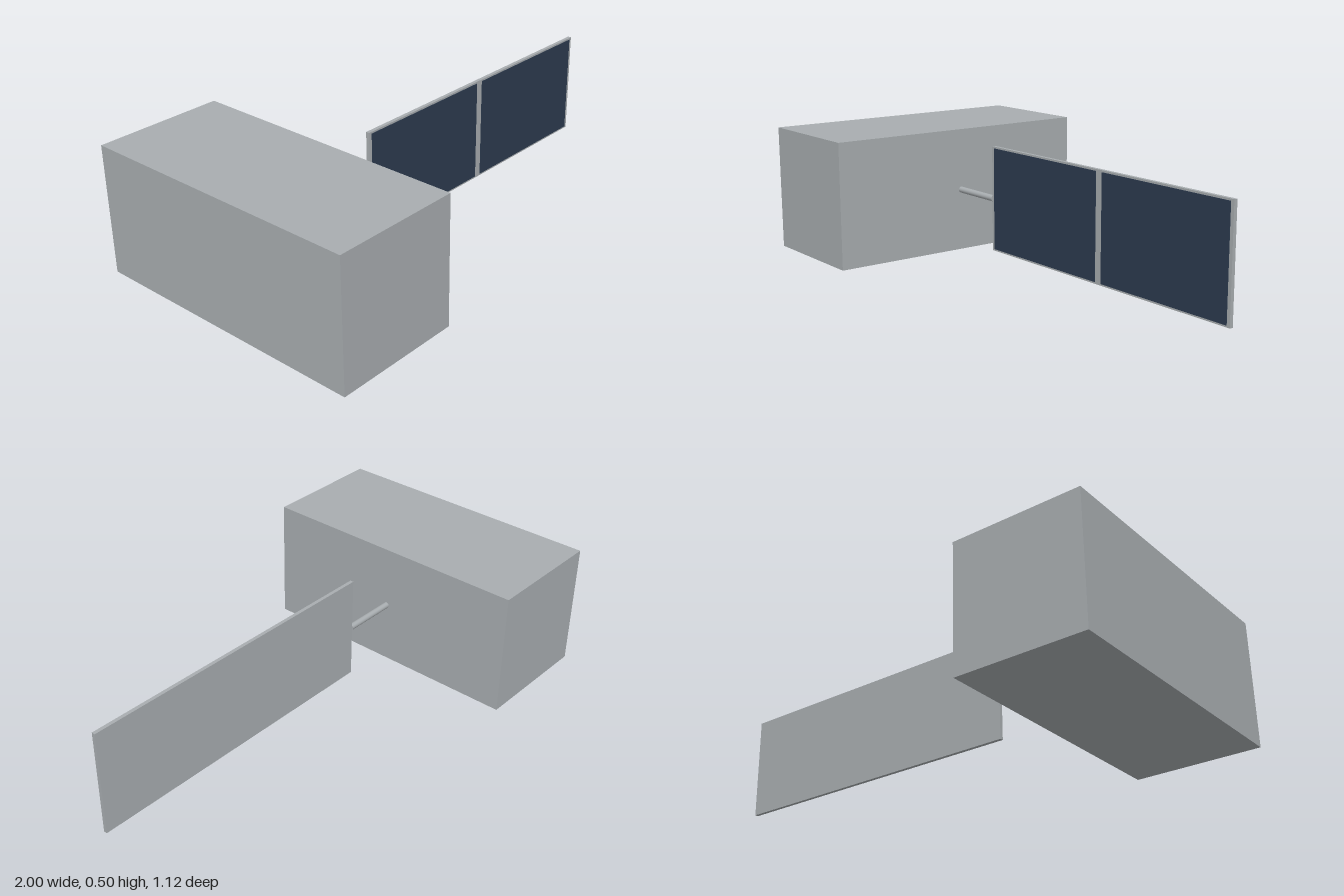
import * as THREE from 'three';

export function createModel() {
  const model = new THREE.Group();
  const hullGrey = new THREE.MeshStandardMaterial({ color: 0xa8adb0 });
  hullGrey.name = 'hullGrey';
  const cellBlue = new THREE.MeshStandardMaterial({ color: 0x2c3b4f });
  cellBlue.name = 'cellBlue';

  const add = (name, geometry, material, x, y, z) => {
    const mesh = new THREE.Mesh(geometry, material);
    mesh.name = name;
    mesh.position.set(x, y, z);
    model.add(mesh);
    return mesh;
  };
  const box = (name, size, material, x, y, z) =>
    add(name, new THREE.BoxGeometry(...size), material, x, y, z);

  // Main body block
  box('body', [0.5, 0.5, 1.12], hullGrey, -0.75, 0.25, 0);

  // Boom joining the body to the panel
  const boom = new THREE.CylinderGeometry(0.0125, 0.0125, 0.225, 16).rotateZ(Math.PI / 2);
  add('boom', boom, hullGrey, -0.3875, 0.25, 0);

  // Panel frame with two solar cells on its front
  box('panelFrame', [1.275, 0.42, 0.014], hullGrey, 0.3625, 0.25, -0.001);
  for (const side of [-1, 1]) {
    box(side < 0 ? 'innerSolarCell' : 'outerSolarCell', [0.608, 0.406, 0.004], cellBlue,
      0.3625 + side * 0.32, 0.25, 0.006);
  }
  return model;
}
